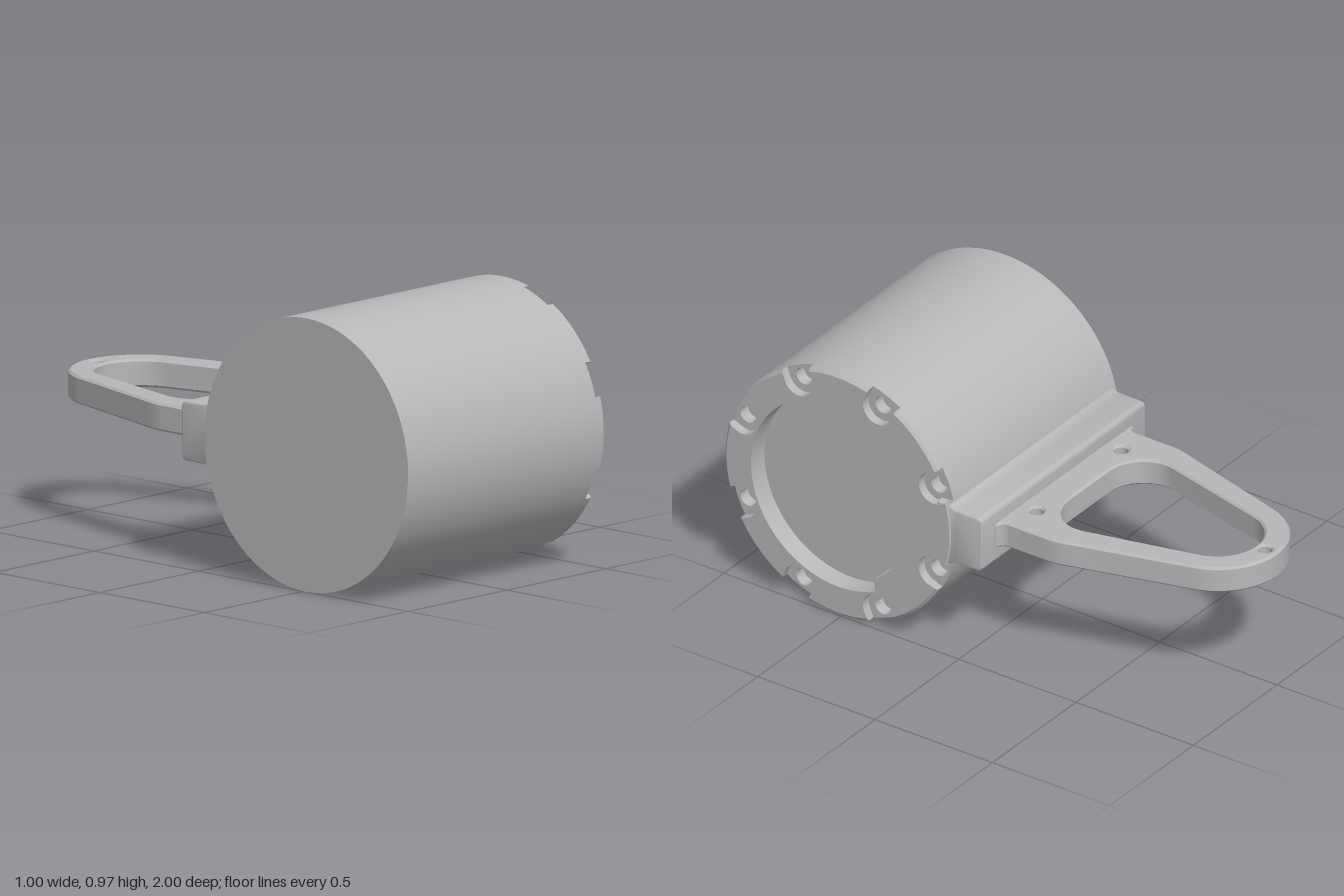
import * as THREE from 'three';
import { toCreasedNormals } from 'three/addons/utils/BufferGeometryUtils.js';

const R = 0.485;        // housing radius, also its height above the ground
const AXIS_Z = 0.515;   // housing axis, parallel to x
const FLOOR_X = 0.42;   // recess floor
const SLOT_X = 0.465;   // floor of the screw slots
const END_X = 0.5;
const BOLTS = 8, BOLT_R = 0.44, SLOT_W = 0.062;

const boltAngle = (k) => (k + 0.5) * 2 * Math.PI / BOLTS;
const polar = (r, a) => new THREE.Vector2(r * Math.cos(a), r * Math.sin(a));

function circlePath(x, y, r) {
  const p = new THREE.Path();
  p.absarc(x, y, r, 0, Math.PI * 2, false);
  return p;
}

// Stepped recess outline: narrower on the side facing the handle
function recessPath() {
  const a = 1.08, pts = [];
  for (let i = 0; i <= 32; i++) pts.push(polar(0.325, -a + (2 * a * i) / 32));
  for (let i = 0; i <= 60; i++) pts.push(polar(0.37, a + 0.05 + ((2 * Math.PI - 2 * a - 0.1) * i) / 60));
  return new THREE.Path(pts);
}

// Rim outline with U-shaped slots open to the outside
function slottedShape() {
  const pts = [], half = Math.asin(SLOT_W / R), pitch = 2 * Math.PI / BOLTS;
  for (let k = 0; k < BOLTS; k++) {
    const a = boltAngle(k);
    pts.push(polar(R, a - half));
    for (let i = 0; i <= 16; i++) {
      const t = -Math.PI / 2 - (Math.PI * i) / 16;
      pts.push(new THREE.Vector2(BOLT_R + SLOT_W * Math.cos(t), SLOT_W * Math.sin(t))
        .rotateAround(new THREE.Vector2(), a));
    }
    for (let i = 0; i < 10; i++) pts.push(polar(R, a + half + ((pitch - 2 * half) * i) / 10));
  }
  return new THREE.Shape(pts);
}

// Extrude a profile along x, starting at x0
function alongX(geometry, x0) {
  return toCreasedNormals(geometry, 0.5).rotateY(Math.PI / 2).translate(x0, R, AXIS_Z);
}

// Block profile, flared where it meets the housing
function mountShape() {
  const s = new THREE.Shape();
  s.moveTo(0.42, -0.12);
  s.lineTo(0.469, -0.12);
  s.quadraticCurveTo(0.48, -0.106, 0.505, -0.106);
  s.lineTo(0.585, -0.106);
  s.quadraticCurveTo(0.607, -0.106, 0.607, -0.084);
  s.lineTo(0.607, 0.084);
  s.quadraticCurveTo(0.607, 0.106, 0.585, 0.106);
  s.lineTo(0.505, 0.106);
  s.quadraticCurveTo(0.48, 0.106, 0.469, 0.12);
  s.lineTo(0.42, 0.12);
  s.closePath();
  return s;
}

// Tapered loop seen from above, its far end pointing up the shape
function handleShape() {
  const s = new THREE.Shape();
  s.moveTo(-0.41, 0.06);
  s.lineTo(0.41, 0.06);
  s.lineTo(0.41, 0.095);
  s.quadraticCurveTo(0.38, 0.1, 0.38, 0.13);
  s.lineTo(0.38, 0.29);
  s.quadraticCurveTo(0.38, 0.33, 0.36, 0.39);
  s.absarc(0, 0.75, 0.25, 0.273, Math.PI - 0.273, false);
  s.lineTo(-0.36, 0.39);
  s.quadraticCurveTo(-0.38, 0.33, -0.38, 0.29);
  s.lineTo(-0.38, 0.13);
  s.quadraticCurveTo(-0.38, 0.1, -0.41, 0.095);
  s.closePath();

  const grip = new THREE.Path();
  grip.moveTo(-0.12, 0.2);
  grip.lineTo(0.12, 0.2);
  grip.bezierCurveTo(0.21, 0.2, 0.285, 0.28, 0.262, 0.37);
  grip.absarc(0, 0.745, 0.165, 0.24, Math.PI - 0.24, false);
  grip.lineTo(-0.262, 0.37);
  grip.bezierCurveTo(-0.285, 0.28, -0.21, 0.2, -0.12, 0.2);
  s.holes.push(grip);
  for (const [x, y] of [[0, 0.95], [0.25, 0.155], [-0.255, 0.155]]) s.holes.push(circlePath(x, y, 0.025));
  return s;
}

export function createModel() {
  const group = new THREE.Group();
  const grey = new THREE.MeshStandardMaterial({ color: 0xb8b8b8 });
  grey.name = 'plain grey';
  const add = (name, geometry) => {
    const mesh = new THREE.Mesh(geometry, grey);
    mesh.name = name;
    group.add(mesh);
  };

  // Solid housing; its near cap is the recess floor
  const length = FLOOR_X + END_X;
  add('housing', new THREE.CylinderGeometry(R, R, length, 96)
    .rotateZ(-Math.PI / 2).translate(FLOOR_X - length / 2, R, AXIS_Z));

  // Ring drilled with screw holes
  const ring = new THREE.Shape();
  ring.absarc(0, 0, R, 0, Math.PI * 2, false);
  ring.holes.push(recessPath());
  for (let k = 0; k < BOLTS; k++) {
    const c = polar(BOLT_R, boltAngle(k));
    ring.holes.push(circlePath(c.x, c.y, 0.033));
  }
  add('screwRing', alongX(new THREE.ExtrudeGeometry(ring,
    { depth: SLOT_X - FLOOR_X, bevelEnabled: false, curveSegments: 48 }), FLOOR_X));

  // Slotted rim, its outer front edge pulled in to a chamfer
  const rim = slottedShape();
  rim.holes.push(recessPath());
  const rimDepth = END_X - SLOT_X;
  const rimGeo = new THREE.ExtrudeGeometry(rim, { depth: rimDepth, steps: 2, bevelEnabled: false });
  const p = rimGeo.attributes.position;
  for (let i = 0; i < p.count; i++) {
    const z = p.getZ(i), r = Math.hypot(p.getX(i), p.getY(i));
    if (z > rimDepth * 0.9) {
      if (r > R - 0.001) p.setXY(i, p.getX(i) * 0.978, p.getY(i) * 0.978);
    } else if (z > 0.001) p.setZ(i, rimDepth - 0.01);
  }
  rimGeo.computeVertexNormals();
  add('slottedRim', alongX(rimGeo, SLOT_X));

  // Mounting block
  const bevel = 0.008;
  add('mountBlock', alongX(new THREE.ExtrudeGeometry(mountShape(), {
    depth: 0.985 - 2 * bevel, bevelThickness: bevel, bevelSize: bevel, bevelOffset: -bevel,
    bevelSegments: 2, curveSegments: 8,
  }), -0.49 + bevel));

  // Handle loop
  add('handle', toCreasedNormals(new THREE.ExtrudeGeometry(handleShape(), {
    depth: 0.1 - 2 * bevel, bevelThickness: bevel, bevelSize: bevel, bevelOffset: -bevel,
    bevelSegments: 1, curveSegments: 16,
  }), 0.5).rotateX(-Math.PI / 2).translate(0, R - 0.05 + bevel, 0));

  return group;
}
